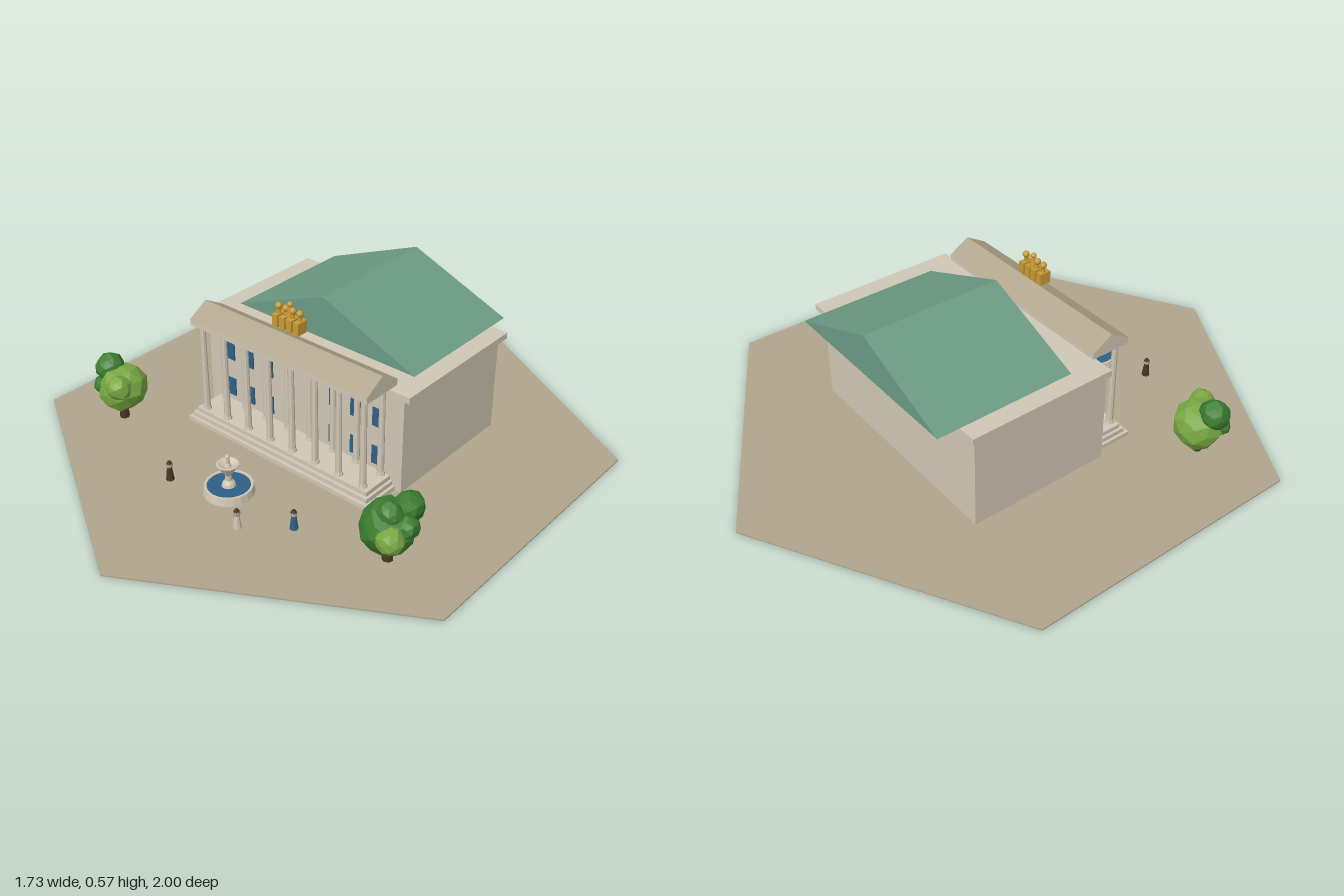
import * as THREE from 'three';

const mat = (name, color) => Object.assign(new THREE.MeshStandardMaterial({ color, flatShading: true }), { name });

export function createModel() {
  const stone = mat('stone', 0xd0c7b4), sand = mat('sand', 0xb0a58c), copper = mat('copperRoof', 0x6c9a85);
  const blue = mat('blue', 0x2f5f86), gold = mat('gold', 0xc99a35), bark = mat('bark', 0x4a3426);
  const dark = mat('darkLeaf', 0x3c7d2f), light = mat('lightLeaf', 0x79a842);

  const model = new THREE.Group();
  model.name = 'templeSquare';
  const group = (name, x = 0, y = 0, z = 0) => {
    const g = new THREE.Group();
    g.name = name;
    g.position.set(x, y, z);
    model.add(g);
    return g;
  };
  const add = (parent, name, geo, material, x = 0, y = 0, z = 0) => {
    const m = new THREE.Mesh(geo, material);
    m.name = name;
    m.position.set(x, y, z);
    parent.add(m);
    return m;
  };
  // Box given by its limits
  const box = (parent, name, material, x0, x1, y0, y1, z0, z1) =>
    add(parent, name, new THREE.BoxGeometry(x1 - x0, y1 - y0, z1 - z0), material,
      (x0 + x1) / 2, (y0 + y1) / 2, (z0 + z1) / 2);
  // Upright cylinder standing on y
  const cyl = (parent, name, material, rTop, rBottom, y, h, sides = 8, x = 0, z = 0) =>
    add(parent, name, new THREE.CylinderGeometry(rTop, rBottom, h, sides), material, x, y + h / 2, z);
  // Triangular prism with its ridge along z, from z = 0 to z = length
  const prism = (half, height, length) => new THREE.ExtrudeGeometry(
    new THREE.Shape([new THREE.Vector2(-half, 0), new THREE.Vector2(half, 0), new THREE.Vector2(0, height)]),
    { depth: length, bevelEnabled: false });

  // Hexagonal ground
  cyl(model, 'ground', sand, 1, 1, 0, 0.005, 6);

  // Main hall
  const hall = group('hall');
  box(hall, 'walls', stone, -0.425, 0.425, 0.005, 0.352, -0.4, 0.12);
  box(hall, 'cornice', stone, -0.445, 0.445, 0.35, 0.372, -0.42, 0.122);
  add(hall, 'mainRoof', prism(0.38, 0.153, 0.51), copper, 0, 0.372, -0.5);
  for (const side of [-1, 1])
    for (const x of [0.145, 0.235, 0.325])
      for (const y of [0.107, 0.251])
        box(hall, 'window', blue, side * x - 0.02, side * x + 0.02, y - 0.034, y + 0.034, 0.119, 0.124);

  // Portico with steps, two rows of columns and a gabled attic
  const portico = group('portico');
  [[0.4, 0.265], [0.39, 0.253], [0.38, 0.241]].forEach(([half, front], i) =>
    box(portico, 'step', stone, -half, half, 0.005 + i * 0.016, 0.021 + i * 0.016, 0.1, front));
  for (const z of [0.222, 0.132])
    for (let i = 0; i < 8; i++) {
      const x = -0.35 + i * 0.1;
      cyl(portico, 'columnBase', stone, 0.014, 0.016, 0.053, 0.01, 8, x, z);
      cyl(portico, 'columnShaft', stone, 0.0095, 0.012, 0.062, 0.312, 8, x, z);
      cyl(portico, 'columnCapital', stone, 0.016, 0.011, 0.373, 0.013, 8, x, z);
    }
  box(portico, 'architrave', stone, -0.38, 0.38, 0.385, 0.406, 0.1, 0.248);
  const attic = add(portico, 'porticoRoof', prism(0.078, 0.046, 0.76), [stone, sand], -0.38, 0.405, 0.174);
  attic.rotation.y = Math.PI / 2;

  // Gilded chariot group above the ridge
  const statue = group('chariotStatue', 0, 0, 0.17);
  for (const x of [-0.045, -0.015, 0.015, 0.045]) {
    box(statue, 'horseBody', gold, x - 0.011, x + 0.011, 0.475, 0.518, -0.02, 0.022);
    cyl(statue, 'horseNeck', gold, 0.006, 0.008, 0.515, 0.024, 6, x, 0);
    add(statue, 'horseHead', new THREE.IcosahedronGeometry(0.012, 1), gold, x, 0.543, 0);
  }
  cyl(statue, 'driverBody', gold, 0.008, 0.014, 0.515, 0.036, 8, 0, -0.004);
  add(statue, 'driverHead', new THREE.IcosahedronGeometry(0.01, 1), gold, 0, 0.56, -0.004);

  // Fountain
  const fountain = group('fountain', 0, 0, 0.47);
  const basin = [[0, 0.005], [0.085, 0.005], [0.08, 0.032], [0.072, 0.032], [0.07, 0.022], [0, 0.022]];
  add(fountain, 'basin', new THREE.LatheGeometry(basin.map(p => new THREE.Vector2(...p)), 20), stone);
  cyl(fountain, 'water', blue, 0.071, 0.071, 0.022, 0.007, 20);
  const bowl = [[0.024, 0.028], [0.02, 0.04], [0.011, 0.05], [0.011, 0.07], [0.038, 0.112], [0.034, 0.114],
    [0.012, 0.102], [0.007, 0.115], [0.007, 0.142], [0, 0.15]];
  add(fountain, 'bowl', new THREE.LatheGeometry(bowl.map(p => new THREE.Vector2(...p)), 12), stone);

  // Visitors
  for (const [x, z, coat] of [[-0.19, 0.55, bark], [0.15, 0.585, stone], [0.285, 0.475, blue]]) {
    const person = group('visitor', x, 0, z);
    cyl(person, 'coat', coat, 0.008, 0.014, 0.005, 0.048, 8);
    add(person, 'head', new THREE.IcosahedronGeometry(0.012, 1), sand === coat ? stone : sand, 0, 0.061, 0);
    cyl(person, 'hat', bark, 0.006, 0.011, 0.066, 0.009, 8);
  }

  // Trees: a trunk and irregular leaf clumps [material, radius, x, y, z]
  let seed = 7;
  const random = () => (seed = (seed * 16807) % 2147483647) / 2147483647;
  const leafClump = radius => {
    const geo = new THREE.IcosahedronGeometry(radius, 1);
    const pos = geo.attributes.position, moved = new Map(), v = new THREE.Vector3();
    for (let i = 0; i < pos.count; i++) {
      v.fromBufferAttribute(pos, i);
      const key = v.toArray().map(c => Math.round(c * 1e4)).join();
      if (!moved.has(key)) moved.set(key, 0.9 + random() * 0.18);
      v.multiplyScalar(moved.get(key));
      pos.setXYZ(i, v.x, v.y, v.z);
    }
    geo.computeVertexNormals();
    return geo;
  };
  const tree = (x, z, clumps) => {
    const g = group('tree', x, 0, z);
    cyl(g, 'trunk', bark, 0.014, 0.018, 0.004, 0.06, 7);
    for (const [material, r, cx, cy, cz] of clumps) add(g, 'leafClump', leafClump(r), material, cx, cy, cz);
  };
  tree(-0.59, 0.4, [[light, 0.085, -0.005, 0.122, -0.01], [dark, 0.052, -0.055, 0.187, 0],
    [light, 0.045, 0.04, 0.158, 0.045], [dark, 0.033, -0.062, 0.13, 0.03]]);
  tree(0.59, 0.4, [[dark, 0.087, -0.005, 0.122, -0.005], [dark, 0.052, 0.03, 0.184, -0.055],
    [light, 0.045, 0.042, 0.128, 0.045], [dark, 0.042, 0.01, 0.185, 0.01], [dark, 0.038, 0.058, 0.15, -0.01]]);

  return model;
}
